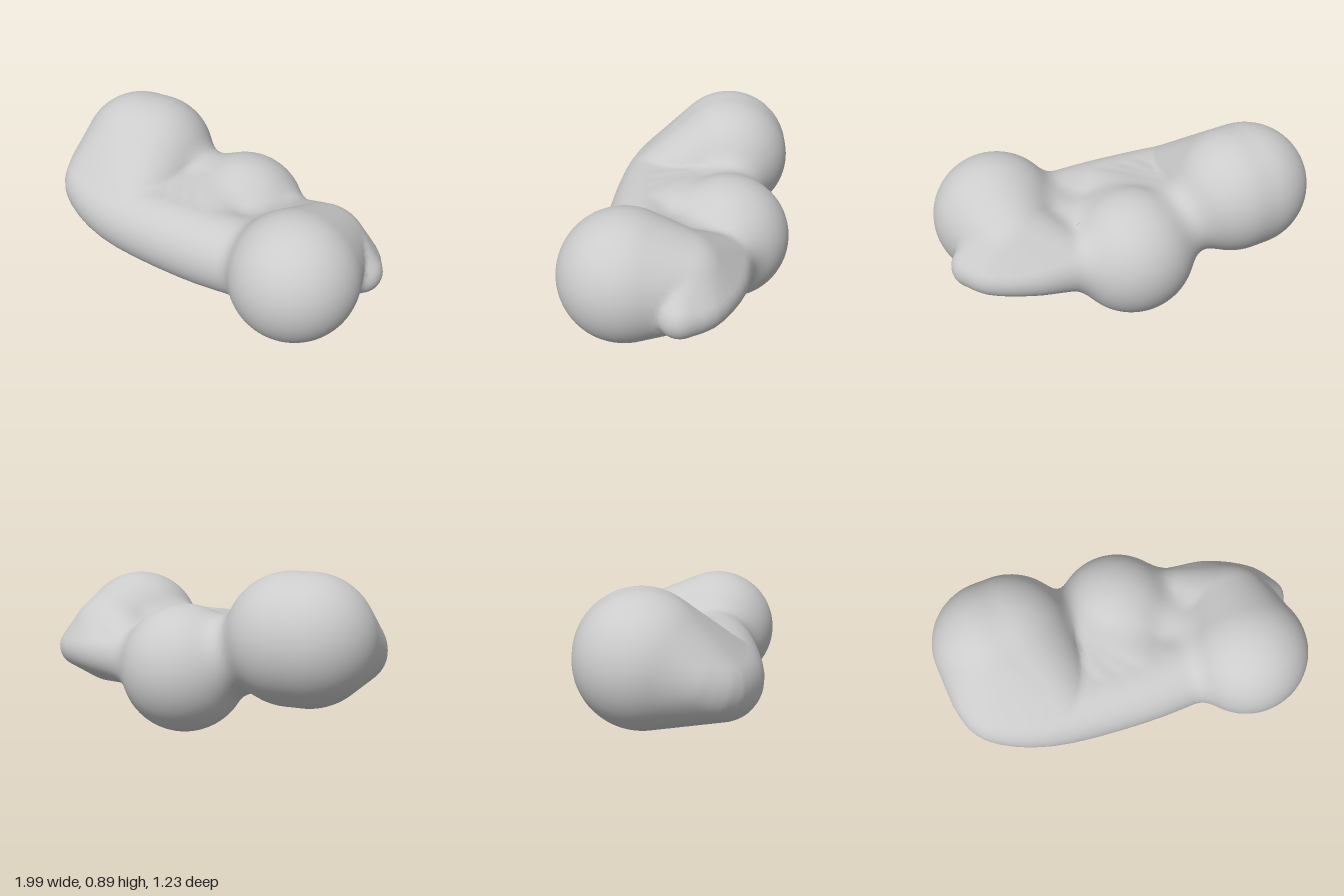
import * as THREE from 'three';

// Blob centres as [x, y, z, radius]; the tall lobe is drawn out along x
const A1 = [-0.65, 0.55, -0.272, 0.345];
const A2 = [-0.558, 0.55, -0.272, 0.345];
const B = [0.06, 0.345, -0.252, 0.345];
const C = [0.622, 0.445, 0.272, 0.345];
// Smaller blobs filling the hollows between the lobes
const saddle = [-0.27, 0.43, -0.2, 0.19];
const belly = [0.05, 0.35, -0.02, 0.26];
const haunch = [0.645, 0.43, 0.0, 0.26];

// Smooth run of blobs through a few control blobs
function run(points, count) {
  const curve = (list) => new THREE.CatmullRomCurve3(list, false, 'catmullrom');
  const path = curve(points.map((p) => new THREE.Vector3(p[0], p[1], p[2])));
  const radii = curve(points.map((p) => new THREE.Vector3(p[3], 0, 0)));
  return Array.from({ length: count }, (_, i) => {
    const t = i / (count - 1);
    return [...path.getPoint(t).toArray(), radii.getPoint(t).x];
  });
}

// Rim of the front slab, from the outer cheek round to the side lobe
const rim = run([[-0.79, 0.53, -0.16, 0.2], [-0.81, 0.475, -0.03, 0.175],
  [-0.755, 0.43, 0.08, 0.17], [-0.48, 0.395, 0.16, 0.2],
  [0, 0.39, 0.2, 0.217], [0.4, 0.4, 0.21, 0.21]], 20);
// Ridge wrapping behind the side lobe into the middle lobe
const ridge = run([[0.88, 0.38, -0.01, 0.115], [0.81, 0.38, -0.13, 0.11],
  [0.62, 0.385, -0.22, 0.125], [0.42, 0.375, -0.235, 0.15], [0.25, 0.36, -0.24, 0.18]], 14);

// Sheets of rounded cones; parts of one group meet directly, groups blend softly
const fan = (centre, points) => points.map((p) => [centre, p]);
const chain = (points) => points.slice(1).map((p, i) => [points[i], p]);
const neck = (p, q, r) => [[...p.slice(0, 3), r], [...q.slice(0, 3), r]];
const groups = [
  [
    [A1, A2],
    ...fan(A1, rim.filter((p) => p[0] < -0.4)),
    ...fan(A2, rim.filter((p) => p[0] > -0.7 && p[0] < -0.3)),
    ...fan(saddle, rim.filter((p) => p[0] > -0.55 && p[0] < 0.1)),
    ...chain(rim),
  ],
  [[B, belly]],
  [[C, haunch], ...fan(haunch, ridge.filter((p) => p[0] > 0.4)), ...chain(ridge)],
  [neck(A2, B, 0.2), neck(B, C, 0.19)],
];

// Distance to a sphere swept from p to q with changing radius
function coneDistance([p, q], x, y, z) {
  const bx = q[0] - p[0], by = q[1] - p[1], bz = q[2] - p[2];
  const dx = x - p[0], dy = y - p[1], dz = z - p[2];
  const l2 = bx * bx + by * by + bz * bz;
  const dr = q[3] - p[3];
  if (l2 <= dr * dr + 1e-9) return Math.sqrt(dx * dx + dy * dy + dz * dz) - p[3];
  const len = Math.sqrt(l2);
  const along = (dx * bx + dy * by + dz * bz) / len;
  const off = Math.sqrt(Math.max(0, dx * dx + dy * dy + dz * dz - along * along));
  const t = Math.min(1, Math.max(0, (along + off * dr / Math.sqrt(l2 - dr * dr)) / len));
  const ex = dx - bx * t, ey = dy - by * t, ez = dz - bz * t;
  return Math.sqrt(ex * ex + ey * ey + ez * ez) - p[3] - dr * t;
}

// Soft union of the groups
function field(x, y, z) {
  const k = 0.07;
  let d = 10;
  for (const group of groups) {
    let e = 10;
    for (const cone of group) e = Math.min(e, coneDistance(cone, x, y, z));
    const h = Math.max(0, k - Math.abs(d - e)) / k;
    d = Math.min(d, e) - h * h * k / 4;
  }
  return d;
}

function gradient(x, y, z, e) {
  return new THREE.Vector3(
    field(x + e, y, z) - field(x - e, y, z),
    field(x, y + e, z) - field(x, y - e, z),
    field(x, y, z + e) - field(x, y, z - e)).normalize();
}

// Surface net: one vertex per crossed cell, one quad per crossed grid edge
function skinGeometry() {
  const step = 0.026, min = [-1.09, -0.09, -0.73], n = [85, 43, 57];
  const stride = [1, n[0], n[0] * n[1]];
  const at = (i, axis) => min[axis] + i * step;
  const values = new Float32Array(n[0] * n[1] * n[2]);
  const cell = new Int32Array(values.length).fill(-1);
  const each = (lo, hi, fn) => {
    for (let k = lo; k < n[2] - hi; k++)
      for (let j = lo; j < n[1] - hi; j++)
        for (let i = lo; i < n[0] - hi; i++) fn(i, j, k, i + j * stride[1] + k * stride[2]);
  };
  each(0, 0, (i, j, k, id) => { values[id] = field(at(i, 0), at(j, 1), at(k, 2)); });

  const positions = [], normals = [], indices = [];
  each(0, 1, (i, j, k, id) => {
    let inside = 0;
    for (let c = 0; c < 8; c++) {
      const o = (c & 1) + ((c >> 1) & 1) * stride[1] + (c >> 2) * stride[2];
      if (values[id + o] < 0) inside++;
    }
    if (inside === 0 || inside === 8) return;
    // Slide the cell centre onto the surface
    const v = new THREE.Vector3(at(i + 0.5, 0), at(j + 0.5, 1), at(k + 0.5, 2));
    for (let s = 0; s < 3; s++) {
      v.addScaledVector(gradient(v.x, v.y, v.z, 0.004), -field(v.x, v.y, v.z));
    }
    cell[id] = positions.length / 3;
    positions.push(v.x, v.y, v.z);
    normals.push(...gradient(v.x, v.y, v.z, 0.03).toArray());
  });

  each(1, 1, (i, j, k, id) => {
    for (let axis = 0; axis < 3; axis++) {
      const inside = values[id] < 0;
      if (inside === values[id + stride[axis]] < 0) continue;
      const u = stride[(axis + 1) % 3], w = stride[(axis + 2) % 3];
      const q = [cell[id - u - w], cell[id - w], cell[id], cell[id - u]];
      if (!inside) q.reverse();
      indices.push(q[0], q[1], q[2], q[0], q[2], q[3]);
    }
  });

  const geometry = new THREE.BufferGeometry();
  geometry.setAttribute('position', new THREE.Float32BufferAttribute(positions, 3));
  geometry.setAttribute('normal', new THREE.Float32BufferAttribute(normals, 3));
  geometry.setIndex(indices);
  return geometry;
}

export function createModel() {
  const group = new THREE.Group();
  group.name = 'blob';
  const skin = new THREE.Mesh(skinGeometry(), new THREE.MeshStandardMaterial({ color: 0xcccccc }));
  skin.name = 'blendedLobes';
  group.add(skin);
  return group;
}
